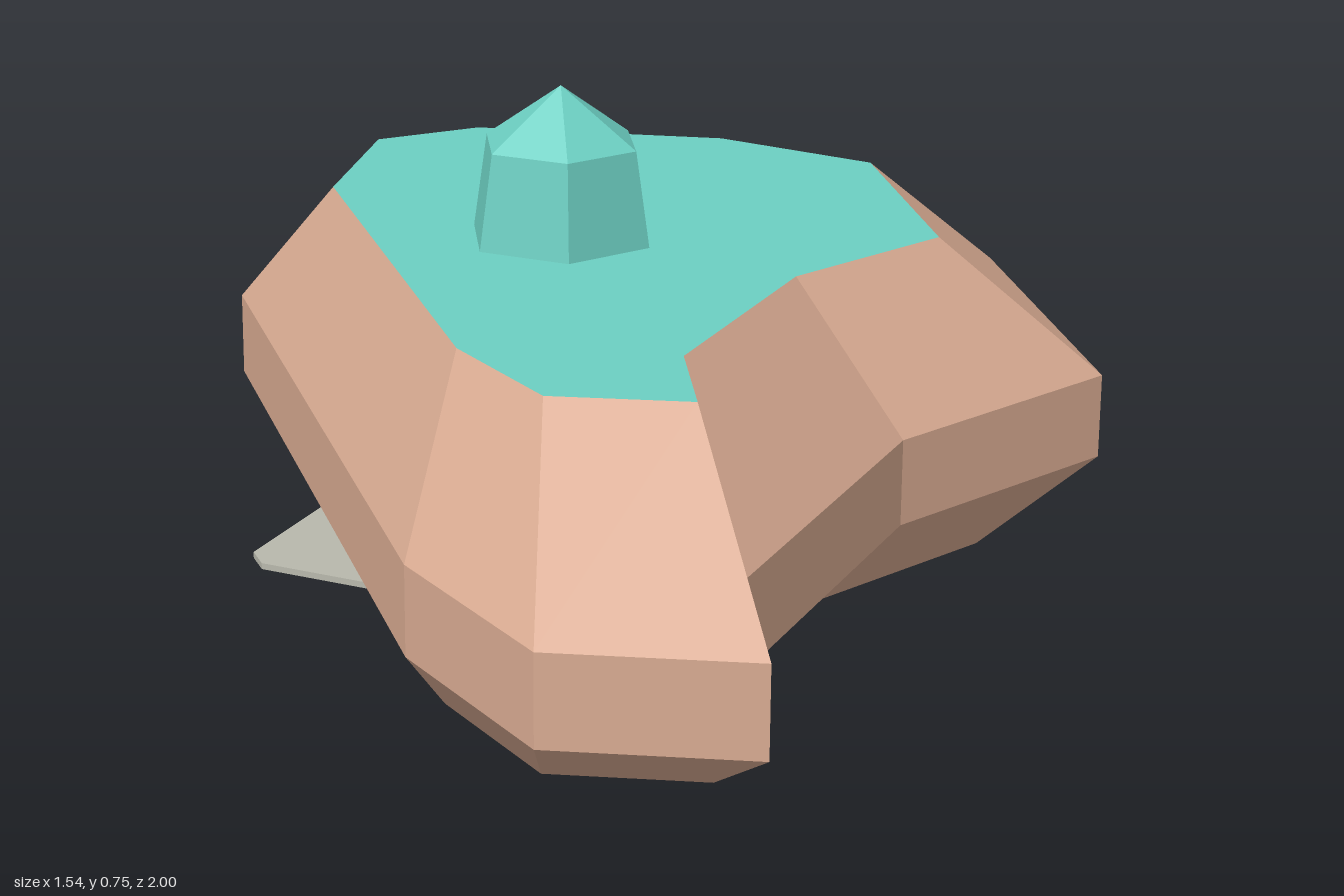
import * as THREE from 'three';

const mat = (name, color) => {
  const m = new THREE.MeshStandardMaterial({ color });
  m.name = name;
  return m;
};

// Island outline as [x, z], counterclockwise seen from above; the first corner is chipped
const OUTLINE = [
  [-0.42, -1], [-0.77, -0.57], [-0.66, -0.14], [0.15, 0.81], [0.435, 1],
  [0.72, 0.905], [0.585, 0.66], [0.59, 0.06], [0.77, -0.355], [0.41, -0.885],
];
const RIM = 0.69, FOOT = 0.78;
const Y_FOOT = 0.002, Y_LOW = 0.15, Y_HIGH = 0.285, Y_TOP = 0.51;

const ring = (scale, y) => OUTLINE.map(([x, z]) => new THREE.Vector3(x * scale, y, z * scale));

// Flat faces from convex polygons, each cut into a fan
function facets(polygons) {
  const pos = [];
  for (const p of polygons)
    for (let i = 1; i < p.length - 1; i++)
      for (const v of [p[0], p[i], p[i + 1]]) pos.push(v.x, v.y, v.z);
  const g = new THREE.BufferGeometry();
  g.setAttribute('position', new THREE.Float32BufferAttribute(pos, 3));
  g.computeVertexNormals();
  return g;
}

// Horizontal cap facing up or down
function cap(points, y, up) {
  const s = up ? -1 : 1;
  const shape = new THREE.Shape(points.map((p) => new THREE.Vector2(p.x, s * p.z)));
  return new THREE.ShapeGeometry(shape).rotateX(s * Math.PI / 2).translate(0, y, 0);
}

export function createModel() {
  const rock = mat('clay', 0xd9ab92);
  const teal = mat('teal', 0x6ccfc2);
  const grey = mat('stone grey', 0xb8b8ac);
  const model = new THREE.Group();
  const add = (name, geometry, material) => {
    const m = new THREE.Mesh(geometry, material);
    m.name = name;
    model.add(m);
    return m;
  };

  // Rock sides: undercut, upright band, sloping shoulder
  const foot = ring(FOOT, Y_FOOT), low = ring(1, Y_LOW), high = ring(1, Y_HIGH), top = ring(RIM, Y_TOP);
  const n = OUTLINE.length;
  const chip = high[0].clone().lerp(top[0], 0.5);
  const chipA = top[0].clone().lerp(top[1], 0.51);
  const chipB = top[0].clone().lerp(top[n - 1], 0.5);
  const faces = [[chip, chipA, chipB]];
  for (let i = 0; i < n; i++) {
    const j = (i + 1) % n;
    faces.push([foot[i], foot[j], low[j], low[i]], [low[i], low[j], high[j], high[i]]);
    const upper = i === 0 ? [top[1], chipA, chip] : j === 0 ? [chip, chipB, top[i]] : [top[j], top[i]];
    faces.push([high[i], high[j], ...upper]);
  }
  add('rockSides', facets(faces), rock);
  add('rockUnderside', cap(foot, Y_FOOT, false), rock);

  // Flat top surface
  add('topSurface', cap([chipA, ...top.slice(1), chipB], Y_TOP, true), teal);

  // Six-sided tower with a pointed roof
  const hex = (r1, r0, y0, y1) =>
    new THREE.CylinderGeometry(r1, r0, y1 - y0, 6, 1, true)
      .rotateY(Math.PI / 6).translate(0, (y0 + y1) / 2, 0).toNonIndexed();
  for (const [name, g] of [['towerWall', hex(0.127, 0.15, Y_TOP, 0.66)], ['towerRoof', hex(0, 0.127, 0.66, 0.75)]]) {
    g.computeVertexNormals();
    add(name, g, teal);
  }

  // Thin base plate with clipped corners
  const W = 0.41, D = 0.3, C = 0.035;
  const plate = new THREE.Shape([
    [W, D - C], [W - C, D], [C - W, D], [-W, D - C],
    [-W, C - D], [C - W, -D], [W - C, -D], [W, C - D],
  ].map(([x, y]) => new THREE.Vector2(x, y)));
  add('basePlate', new THREE.ExtrudeGeometry(plate, { depth: 0.01, bevelEnabled: false }).rotateX(-Math.PI / 2), grey);

  return model;
}
